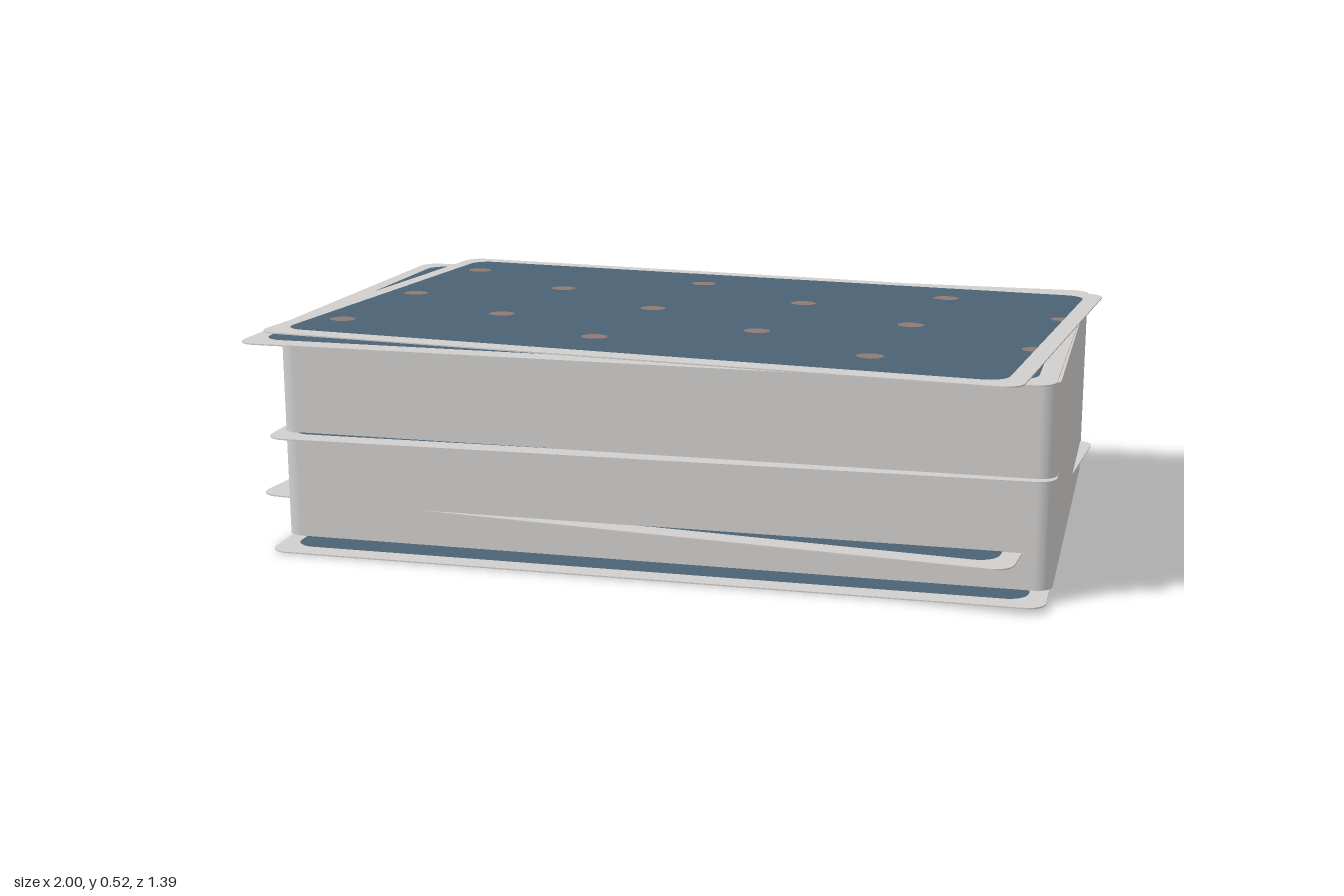
import * as THREE from 'three';

const paper = new THREE.MeshStandardMaterial({ color: 0xd0cfce });
paper.name = 'paper';
const backBlue = new THREE.MeshStandardMaterial({ color: 0x4b6272 });
backBlue.name = 'slateBlue';
const dotBrown = new THREE.MeshStandardMaterial({ color: 0x8f7a72 });
dotBrown.name = 'dustyBrown';

const CARD_W = 1.84, CARD_D = 1.19, THICK = 0.003;

// Rounded rectangle centred on the origin
function roundedRect(w, d, r) {
  const x = w / 2, y = d / 2, s = new THREE.Shape();
  s.moveTo(-x + r, -y);
  s.lineTo(x - r, -y);
  s.absarc(x - r, -y + r, r, -Math.PI / 2, 0);
  s.lineTo(x, y - r);
  s.absarc(x - r, y - r, r, 0, Math.PI / 2);
  s.lineTo(-x + r, y);
  s.absarc(-x + r, y - r, r, Math.PI / 2, Math.PI);
  s.lineTo(-x, -y + r);
  s.absarc(-x + r, -y + r, r, Math.PI, Math.PI * 1.5);
  return s;
}

// Flat slab lying in the xz plane, bottom at y = 0
function slab(w, d, r, h) {
  const geo = new THREE.ExtrudeGeometry(roundedRect(w, d, r), { depth: h, bevelEnabled: false, curveSegments: 6 });
  return geo.rotateX(-Math.PI / 2);
}

function addMesh(parent, name, geo, mat, y = 0) {
  const mesh = new THREE.Mesh(geo, mat);
  mesh.name = name;
  mesh.position.y = y;
  parent.add(mesh);
  return mesh;
}

// Printed panel with staggered dots, facing up
function makePattern(w, d) {
  const group = new THREE.Group();
  group.name = 'backPattern';
  const panel = new THREE.ShapeGeometry(roundedRect(w - 0.084, d - 0.1, 0.05), 6).rotateX(-Math.PI / 2);
  addMesh(group, 'bluePanel', panel, backBlue, THICK / 2 + 0.001);
  const edge = (w - 0.084) / 2;
  for (let row = 0; row < 5; row++) {
    for (let col = 0; col < 3; col++) {
      const x = -0.8 + col * 0.67 + (row % 2) * 0.34;
      const cut = x > edge - 0.03;
      // The last dot of a shifted row is cut by the panel edge
      const geo = cut ? new THREE.CircleGeometry(0.033, 4, Math.PI / 2, Math.PI) : new THREE.CircleGeometry(0.034, 8);
      geo.scale(1, 0.85, 1).rotateX(-Math.PI / 2);
      const dot = addMesh(group, 'dot', geo, dotBrown, THICK / 2 + 0.002);
      dot.position.x = cut ? edge : x;
      dot.position.z = -0.393 + row * 0.196;
    }
  }
  return group;
}

// Card with the same print on both faces
function makeCard(name, x, y, z, degrees, w = CARD_W, d = CARD_D) {
  const card = new THREE.Group();
  card.name = name;
  addMesh(card, 'cardStock', slab(w, d, 0.045, THICK), paper, -THICK / 2);
  const under = makePattern(w, d);
  under.rotation.x = Math.PI;
  card.add(makePattern(w, d), under);
  card.position.set(x, y, z);
  card.rotation.y = THREE.MathUtils.degToRad(degrees);
  return card;
}

export function createModel() {
  const model = new THREE.Group();
  model.name = 'cardDeck';

  // Solid stack
  const stack = addMesh(model, 'stack', slab(1.825, 1.125, 0.04, 0.468), paper, 0.035);
  stack.position.x = 0.035;
  stack.position.z = -0.01;
  stack.rotation.y = THREE.MathUtils.degToRad(5.5);

  // Loose cards, bottom to top
  model.add(
    makeCard('bottomCard', 0.015, 0.0045, 0, 5.8),
    makeCard('lowerCard', 0.01, 0.118, 0.008, 0),
    makeCard('middleCard', 0.018, 0.289, 0.005, 6.8),
    makeCard('upperCard', -0.003, 0.511, 0.008, 5.1, 1.9, 1.21),
    makeCard('topCard', 0.018, 0.5175, -0.005, -0.2)
  );
  return model;
}
